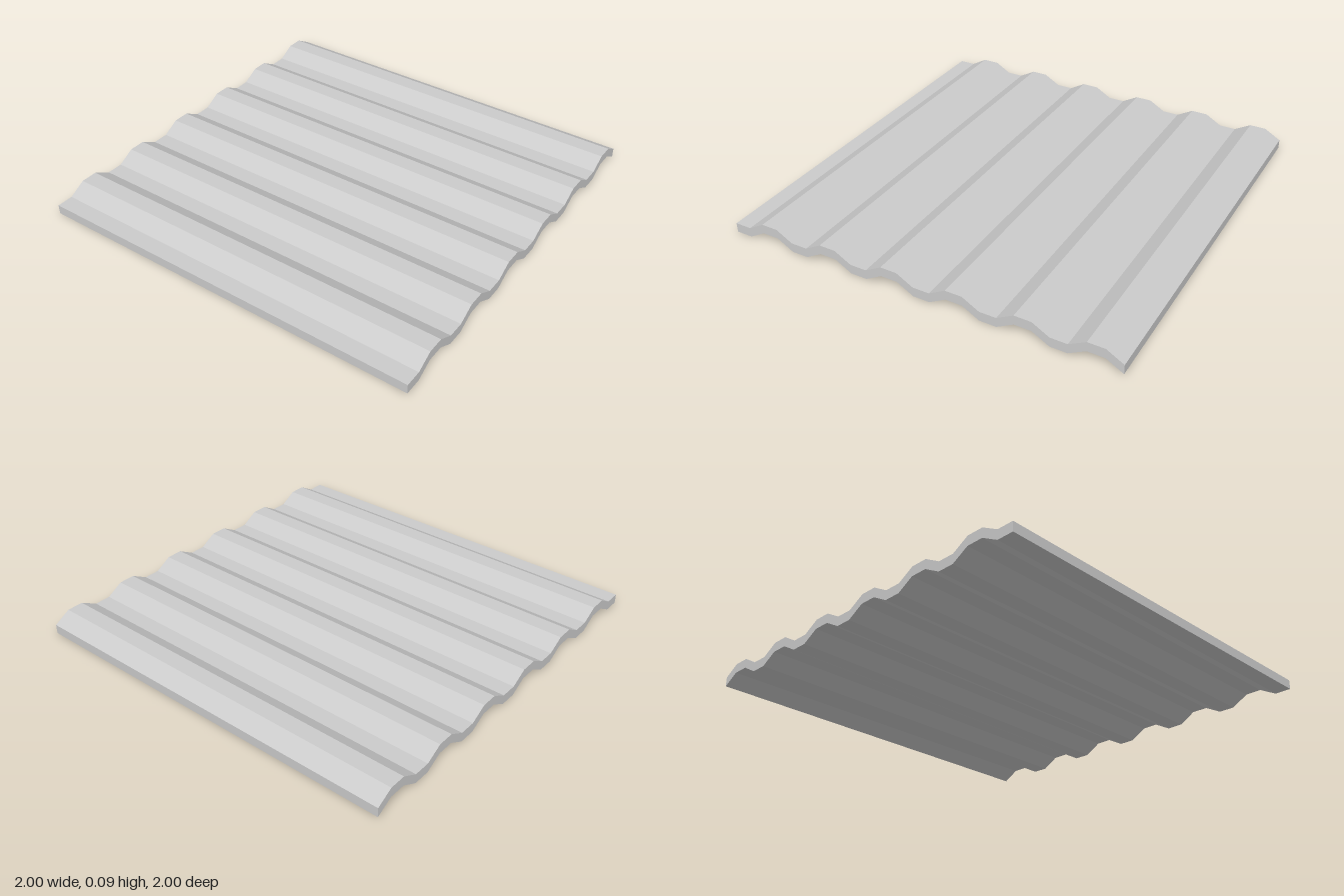
import * as THREE from 'three';

const WAVES = 6;        // corrugations across the depth
const RISE = 0.047;     // height of a ridge above a valley
const THICKNESS = 0.048;

export function createModel() {
  const group = new THREE.Group();
  group.name = 'corrugatedPanel';

  // Zigzag centre line from front to back: valley, slope up, ridge, slope down
  const steps = WAVES * 4;
  const lower = [];
  for (let i = 0; i <= steps; i++) {
    const phase = i % 4;
    const y = phase === 2 || phase === 3 ? RISE : 0;
    lower.push(new THREE.Vector2(1 - (2 * i) / steps, y));
  }
  const upper = lower.map((p) => new THREE.Vector2(p.x, p.y + THICKNESS)).reverse();

  // Closed profile swept along the width
  const profile = new THREE.Shape([...lower, ...upper]);
  const geometry = new THREE.ExtrudeGeometry(profile, { depth: 2, bevelEnabled: false });
  geometry.translate(0, 0, -1);
  geometry.rotateY(-Math.PI / 2); // profile x becomes z

  const sheet = new THREE.Mesh(
    geometry,
    new THREE.MeshStandardMaterial({ color: 0xcccccc, flatShading: true })
  );
  sheet.name = 'corrugatedSheet';
  group.add(sheet);
  return group;
}
